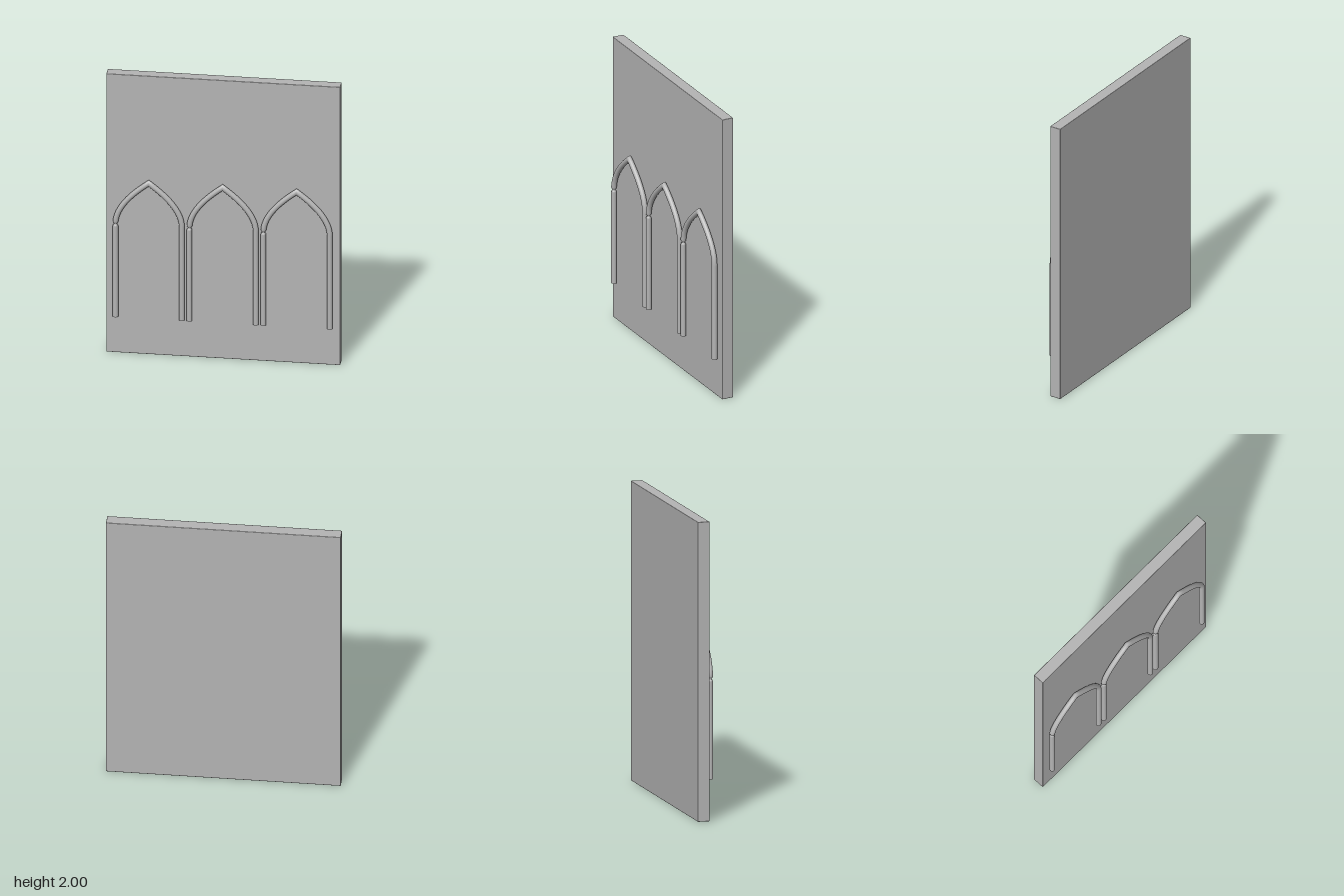
import * as THREE from 'three';
import { RoundedBoxGeometry } from 'three/addons/geometries/RoundedBoxGeometry.js';

const RADIUS = 0.0185, HALF = 0.22, SPRING = 0.937, FOOT = 0.27, APEX = 1.24, SIDES = 16;

// Round moulding swept along planar points [x, y, radius scale], mitred at corners
function sweep(points) {
  const pos = [], idx = [], n = points.length;
  const pts = points.map(p => new THREE.Vector2(p[0], p[1]));
  pts.forEach((p, i) => {
    const a = i > 0 ? p.clone().sub(pts[i - 1]).normalize() : null;
    const b = i < n - 1 ? pts[i + 1].clone().sub(p).normalize() : null;
    const t = (a && b ? a.clone().add(b) : (a || b).clone()).normalize();
    const miter = a ? 1 / a.dot(t) : 1;
    const r = RADIUS * points[i][2];
    for (let k = 0; k < SIDES; k++) {
      const ang = (k / SIDES) * Math.PI * 2, s = Math.cos(ang) * r * miter;
      pos.push(p.x - t.y * s, p.y + t.x * s, Math.sin(ang) * r);
      if (i < n - 1) {
        const c = i * SIDES + k, d = i * SIDES + (k + 1) % SIDES;
        idx.push(c, d, c + SIDES, d, d + SIDES, c + SIDES);
      }
    }
  });
  const geo = new THREE.BufferGeometry();
  geo.setAttribute('position', new THREE.Float32BufferAttribute(pos, 3));
  geo.setIndex(idx);
  geo.computeVertexNormals();
  return geo;
}

export function createModel() {
  const group = new THREE.Group();
  const stone = new THREE.MeshStandardMaterial({ color: 0xb4b4b4 });
  stone.name = 'grey stone';
  const add = (parent, geo, name, x = 0, y = 0, z = 0) => {
    const mesh = new THREE.Mesh(geo, stone);
    mesh.name = name;
    mesh.position.set(x, y, z);
    parent.add(mesh);
  };

  // Upright slab with a fine bevel
  add(group, new RoundedBoxGeometry(1.55, 2, 0.08, 1, 0.004), 'slab', 0, 1, -0.02);

  // One side of the pointed arch, from spring to apex
  const side = new THREE.QuadraticBezierCurve(
    new THREE.Vector2(HALF, SPRING), new THREE.Vector2(HALF, 1.08), new THREE.Vector2(0, APEX)
  ).getPoints(16);

  // Pinched joint above the right-hand leg, then over the apex and down to the other foot
  const path = [
    [-HALF, FOOT, 1], [-HALF, SPRING - 0.016, 1], [-HALF, SPRING - 0.006, 0.8], [-HALF, SPRING, 0.4],
    [-HALF + 0.001, SPRING + 0.01, 0.85],
    ...side.slice(1).map(p => [-p.x, p.y, 1]),
    ...side.slice(0, -1).reverse().map(p => [p.x, p.y, 1]),
    [HALF, FOOT, 1],
  ];
  const moulding = sweep(path);
  const foot = new THREE.CircleGeometry(RADIUS, SIDES).rotateX(Math.PI / 2);

  // Row of three arches
  [-0.49, 0, 0.49].forEach((x, i) => {
    const arch = new THREE.Group();
    arch.name = ['rightArch', 'middleArch', 'leftArch'][i];
    arch.position.set(x, 0, 0.044);
    add(arch, moulding, 'moulding');
    for (const s of [-1, 1]) add(arch, foot, 'footCap', s * HALF, FOOT);
    group.add(arch);
  });
  return group;
}
